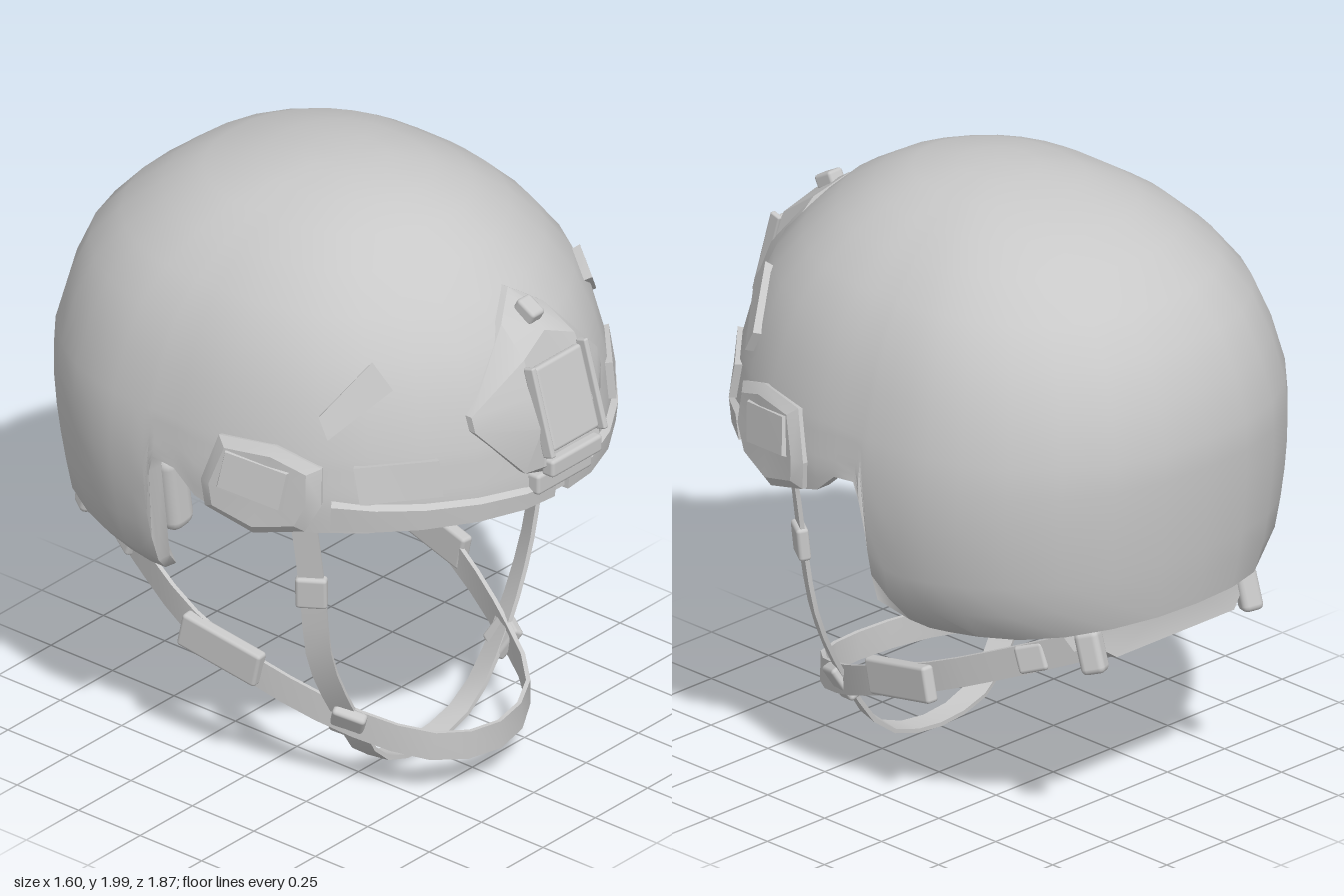
import * as THREE from 'three';
import { toCreasedNormals } from 'three/addons/utils/BufferGeometryUtils.js';
import { RoundedBoxGeometry } from 'three/addons/geometries/RoundedBoxGeometry.js';

const V = (x, y, z) => new THREE.Vector3(x, y, z);

// Shell levels: y, half width, front reach, back reach
const LEVELS = [
  [2.0, 0, 0, 0], [1.995, .12, .12, .14], [1.97, .24, .28, .28], [1.92, .36, .40, .47],
  [1.85, .47, .52, .60], [1.75, .575, .63, .73], [1.64, .655, .73, .83], [1.5, .71, .795, .89],
  [1.35, .75, .835, .93], [1.2, .77, .85, .93], [1.0, .755, .85, .915], [.8, .71, .85, .89], [.69, .59, .85, .85],
];
// Half outline from front to back: x, z, height of the rim there
const OUTLINE = [
  [0, .85, 1.12], [.14, .84, 1.11], [.3, .78, 1.11], [.45, .685, 1.11], [.58, .565, 1.1], [.67, .43, 1.09],
  [.73, .28, 1.08], [.76, .12, 1.09], [.77, .02, 1.12], [.77, -.06, 1.19], [.77, -.145, 1.2], [.77, -.165, 1.14],
  [.77, -.19, .79], [.765, -.25, .71], [.76, -.33, .7], [.74, -.42, .71], [.7, -.53, .72], [.62, -.66, .73],
  [.5, -.78, .75], [.35, -.87, .77], [.18, -.92, .78], [0, -.93, .78],
];

function level(y) {
  let i = 0;
  while (i < LEVELS.length - 2 && LEVELS[i + 1][0] > y) i++;
  const a = LEVELS[i], b = LEVELS[i + 1];
  const t = THREE.MathUtils.clamp((a[0] - y) / (a[0] - b[0]), 0, 1);
  return a.map((v, k) => v + (b[k] - v) * t);
}

// Point on the outer shell at outline position u and height y
function shellPoint(u, y) {
  const i = Math.min(Math.floor(u), OUTLINE.length - 2), t = u - i;
  const [x, z] = OUTLINE[i].map((v, k) => v + (OUTLINE[i + 1][k] - v) * t);
  const [, w, f, b] = level(y);
  return V(x / .77 * w, y, z > 0 ? z / .85 * f : z / .93 * b);
}

// Shell point found from a front (x, y) or side (z, y) position, pushed out by depth
function onShell(axis, value, y, depth) {
  let best = 0, miss = 9;
  for (let u = 0; u <= 11; u += .02) {
    const d = Math.abs(shellPoint(u, y)[axis] - value);
    if (d < miss) { miss = d; best = u; }
  }
  const u = Math.max(best, .02), p = shellPoint(u, y);
  const across = shellPoint(u + .02, y).sub(shellPoint(u - .02, y));
  const up = shellPoint(u, y + .02).sub(shellPoint(u, y - .02));
  const n = across.cross(up).normalize();
  if (n.x * p.x + n.z * p.z < 0) n.negate();
  return shellPoint(best, y).addScaledVector(n, depth);
}

// Skin over equal rings of points, with optional fan caps
function loft(rings, { caps = true, crease = .6 } = {}) {
  const n = rings[0].length, pts = rings.flat(), idx = [];
  for (let r = 0; r < rings.length - 1; r++) {
    for (let i = 0; i < n; i++) {
      const a = r * n + i, b = r * n + (i + 1) % n;
      idx.push(a, b, b + n, a, b + n, a + n);
    }
  }
  if (caps) {
    for (const [r, flip] of [[0, true], [rings.length - 1, false]]) {
      const c = V(0, 0, 0);
      rings[r].forEach((p) => c.addScaledVector(p, 1 / n));
      const ci = pts.push(c) - 1;
      for (let i = 0; i < n; i++) {
        const a = r * n + i, b = r * n + (i + 1) % n;
        idx.push(...(flip ? [b, a, ci] : [a, b, ci]));
      }
    }
  }
  const g = new THREE.BufferGeometry().setFromPoints(pts);
  g.setIndex(idx);
  return toCreasedNormals(g, crease);
}

// Closed double-walled dome
function shellGeometry() {
  const cols = OUTLINE.map((o, i) => ({ u: i, rim: o[2], s: 1 }));
  const ring = [...cols, ...cols.slice(1, -1).reverse().map((c) => ({ ...c, s: -1 }))];
  const steps = LEVELS.slice(0, 9).map(([y]) => () => y), rings = [];
  for (let k = 1; k <= 6; k++) steps.push((rim) => 1.35 + (rim - 1.35) * k / 6);
  const row = (f, inner) => ring.map((c) => {
    const p = shellPoint(c.u, f(c.rim));
    p.x *= c.s;
    if (inner) {
      p.set(p.x * .93, p.y - .07 * Math.max(0, (p.y - 1.2) / .8), p.z * (1 - .07 * Math.min(1, Math.abs(p.z) / .5)));
    }
    return p;
  });
  steps.forEach((f) => rings.push(row(f, false)));
  [...steps].reverse().forEach((f) => rings.push(row(f, true)));
  return loft(rings, { caps: false, crease: .9 });
}

// Flat webbing along a path; wide(p) gives the direction of its width at a point
function strapGeometry(points, width, wide, thick = .014) {
  const curve = new THREE.CatmullRomCurve3(points.map((p) => V(...p)));
  const rings = [];
  for (let i = 0; i <= 28; i++) {
    const p = curve.getPointAt(i / 28), t = curve.getTangentAt(i / 28), w = wide(p);
    w.addScaledVector(t, -w.dot(t)).normalize();
    const n = t.clone().cross(w);
    rings.push([[1, 1], [-1, 1], [-1, -1], [1, -1]].map(([a, b]) =>
      p.clone().addScaledVector(w, a * width / 2).addScaledVector(n, b * thick / 2)));
  }
  return loft(rings);
}

export function createModel() {
  const group = new THREE.Group();
  const grey = new THREE.MeshStandardMaterial({ color: 0xc8c8c8, side: THREE.DoubleSide });
  grey.name = 'light grey';
  const add = (name, geometry) => {
    const m = new THREE.Mesh(geometry, grey);
    m.name = name;
    group.add(m);
    return m;
  };
  const block = (name, size, pos, rot = [0, 0, 0], radius = .012) => {
    const m = add(name, new RoundedBoxGeometry(...size, 2, radius));
    m.position.set(...pos);
    m.rotation.set(...rot);
  };
  // Raised patch that follows the shell, bevelled by shrinking its top
  const patch = (name, axis, corners, depth, s, shrink = 1) => {
    const c = corners.reduce((a, p) => [a[0] + p[0] / corners.length, a[1] + p[1] / corners.length], [0, 0]);
    const ring = (d, k) => corners.map(([a, y]) => {
      const p = onShell(axis, c[0] + (a - c[0]) * k, c[1] + (y - c[1]) * k, d);
      p.x *= s;
      return p;
    });
    add(name, loft([ring(-.02, 1), ring(depth * .5, 1), ring(depth, shrink)], { crease: .4 }));
  };

  add('shell', shellGeometry());

  // Front mount: diamond plate rising to a square socket
  const half = [[0, 1.76], [.1, 1.69], [.3, 1.46], [.3, 1.41], [.16, 1.24], [0, 1.2]];
  const inner = [[0, 1.66], [.12, 1.61], [.13, 1.5], [.13, 1.4], [.13, 1.27], [0, 1.26]];
  const both = (list) => [...list, ...list.slice(1, -1).reverse().map(([x, y]) => [-x, y])];
  const mountRing = (list, d) => both(list).map(([x, y]) => V(x, y, onShell('x', Math.abs(x), y, 0).z + d));
  const raised = both(inner).map(([x, y]) => V(x, y, .905 - Math.max(0, y - 1.38) * .4));
  add('frontMount', loft([mountRing(half, -.04), mountRing(half, .025), raised], { crease: .5 }));
  block('mountSocket', [.22, .28, .03], [0, 1.45, .875], [-.28, 0, 0]);
  for (const s of [1, -1]) block('socketRail', [.02, .3, .04], [s * .125, 1.45, .88], [-.28, 0, 0], .006);
  block('mountLip', [.24, .06, .05], [0, 1.26, .905]);
  block('mountHook', [.06, .05, .08], [0, 1.71, .73], [.5, 0, 0]);
  block('mountFoot', [.26, .07, .05], [0, 1.19, .855]);

  for (const s of [1, -1]) {
    // Hook-and-loop patches
    patch('frontPatch', 'x', [[.4, 1.34], [.59, 1.33], [.59, 1.21], [.4, 1.22]], .025, s);
    patch('slantedPatch', 'x', [[.48, 1.64], [.62, 1.48], [.62, 1.41], [.46, 1.56]], .028, s);

    // Side rail and its arm along the brow
    patch('sideRail', 'z', [[.44, 1.32], [.3, 1.37], [.11, 1.36], [.06, 1.2], [.07, 1.11], [.24, 1.06], [.4, 1.1], [.45, 1.2]], .034, s, .8);
    patch('railPad', 'z', [[.36, 1.3], [.14, 1.33], [.12, 1.2], [.34, 1.17]], .042, s, .9);
    const arm = [.03, .15, .3, .45, .56, .64].map((x, i) => {
      const top = 1.16 + .007 * i;
      return [[1.11, -.01], [1.11, .015], [top, .02], [top + .02, -.01]].map(([y, d]) => {
        const p = onShell('x', x, y, d);
        p.x *= s;
        return p;
      });
    });
    add('browRail', loft(arm));

    // Inner padding
    block('earPad', [.11, .28, .24], [s * .58, .98, -.3], [0, 0, -s * .15], .04);
    block('templePad', [.24, .28, .09], [s * .49, 1.04, -.56], [0, -s * .75, 0], .035);
    block('browPad', [.08, .2, .28], [s * .61, 1.24, .25], [0, -s * .45, 0], .03);

    // Strap anchors, buckles and sliders
    block('strapAnchor', [.07, .14, .08], [s * .34, .685, -.76], [.3, s * .5, 0], .02);
    block('frontBuckle', [.04, .11, .1], [s * .545, .79, .31], [0, -s * .58, -s * .1]);
    block('sideBuckle', [.045, .12, .3], [s * .505, .43, -.09], [.22, -s * .1, 0]);
    block('strapJunction', [.04, .12, .11], [s * .37, .255, .31], [.3, -s * .45, -s * .4]);
    block('rearSlider', [.04, .09, .1], [s * .4, .62, -.56], [.35, s * .4, 0]);
    add('napeStrap', strapGeometry([[s * .34, .7, -.73], [s * .4, .85, -.64], [s * .45, 1.0, -.55]], .08, () => V(s * .7, 0, .6)));
  }

  // Nape pad
  const nape = [[-.35, .7], [-.27, .64], [.27, .64], [.35, .7], [.27, .9], [.16, .915], [-.16, .915], [-.27, .9]];
  const napeRing = (k, dz) => nape.map(([x, y]) =>
    V(x * k, .78 + (y - .78) * k, -.83 + dz + x * x * .6));
  add('napePad', loft([napeRing(.95, 0), napeRing(1, .05), napeRing(.85, .12)], { crease: .9 }));

  // Chin webbing
  const mirror = (list) => [...list, ...list.slice(0, -1).reverse().map(([x, y, z]) => [-x, y, z])];
  add('underChinStrap', strapGeometry(mirror([
    [.6, 1.14, .31], [.565, .95, .31], [.54, .79, .31], [.49, .52, .3], [.36, .26, .3], [.22, .07, .285], [0, .015, .28],
  ]), .08, (p) => V(-p.x * 1.2, 0, 1)));
  add('chinStrap', strapGeometry(mirror([
    [.33, .71, -.76], [.4, .62, -.56], [.49, .49, -.25], [.5, .42, -.06], [.38, .27, .3], [.22, .19, .54], [0, .165, .61],
  ]), .095, () => V(0, 1, 0)));

  return group;
}
